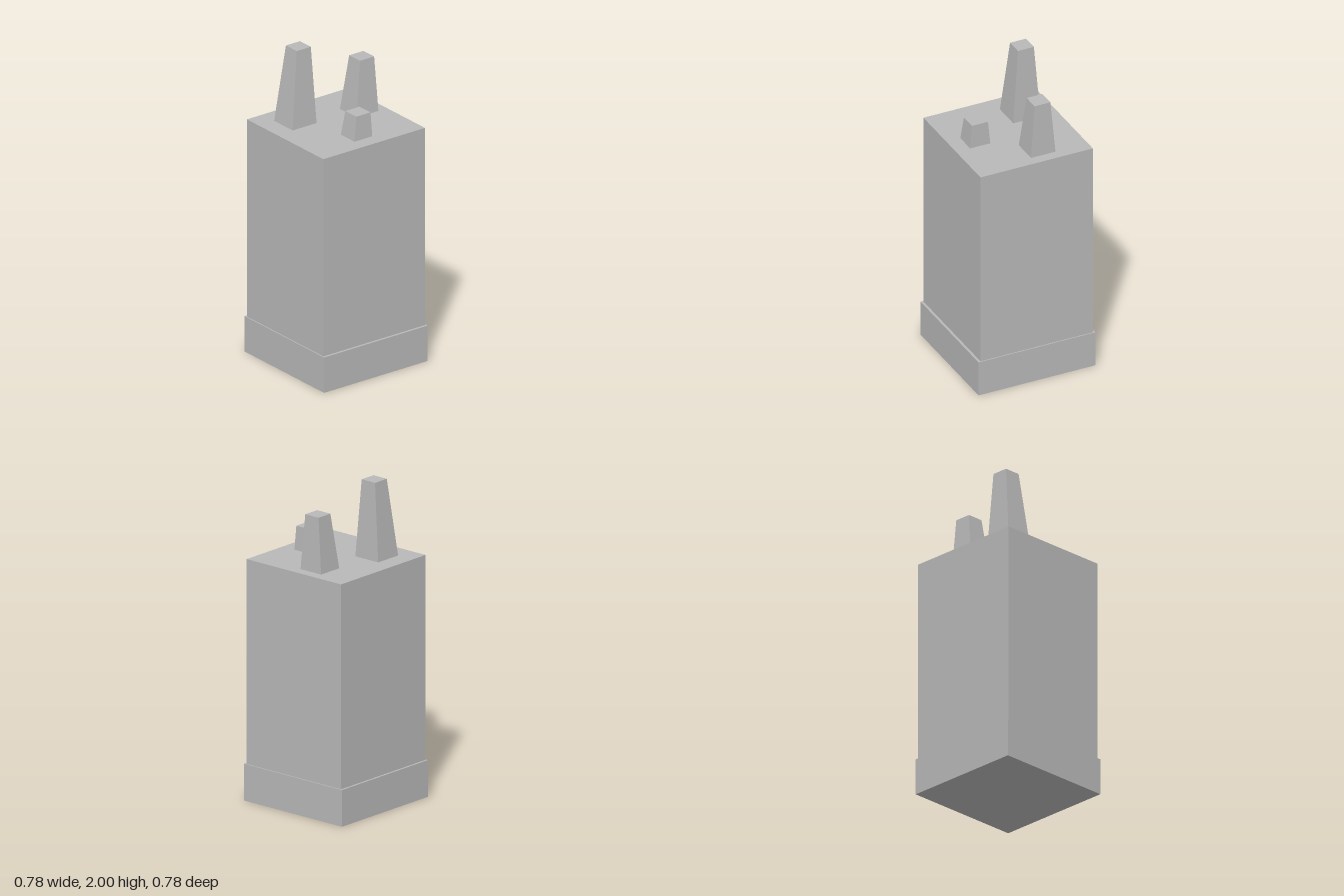
import * as THREE from 'three';

// Box with separate top and bottom rectangles, each [x0, x1, z0, z1]
function taperedBox(bottom, top, y0, y1) {
  const geo = new THREE.BoxGeometry(1, 1, 1);
  const p = geo.attributes.position;
  for (let i = 0; i < p.count; i++) {
    const up = p.getY(i) > 0;
    const r = up ? top : bottom;
    p.setXYZ(i, p.getX(i) < 0 ? r[0] : r[1], up ? y1 : y0, p.getZ(i) < 0 ? r[2] : r[3]);
  }
  geo.computeVertexNormals();
  return geo;
}

export function createModel() {
  const group = new THREE.Group();
  const concrete = new THREE.MeshStandardMaterial({ color: 0xb8b8b8 });
  concrete.name = 'concrete grey';

  const add = (name, bottom, top, y0, y1) => {
    const mesh = new THREE.Mesh(taperedBox(bottom, top, y0, y1), concrete);
    mesh.name = name;
    group.add(mesh);
  };

  // Wider plinth and the tall main block
  const plinth = [-0.39, 0.388, -0.39, 0.388];
  const block = [-0.383, 0.381, -0.376, 0.372];
  const roof = 1.513;
  add('plinth', plinth, plinth, 0, 0.23);
  add('mainBlock', block, block, 0.23, roof);

  // Three tapering chimneys on the roof
  add('tallChimney', [-0.267, -0.087, -0.26, -0.079], [-0.207, -0.101, -0.223, -0.117], roof, 2);
  add('middleChimney', [0.151, 0.315, -0.16, 0.003], [0.198, 0.305, -0.131, -0.026], roof, 1.86);
  add('shortChimney', [-0.077, 0.056, 0.145, 0.279], [-0.054, 0.053, 0.159, 0.266], roof, 1.665);

  return group;
}
